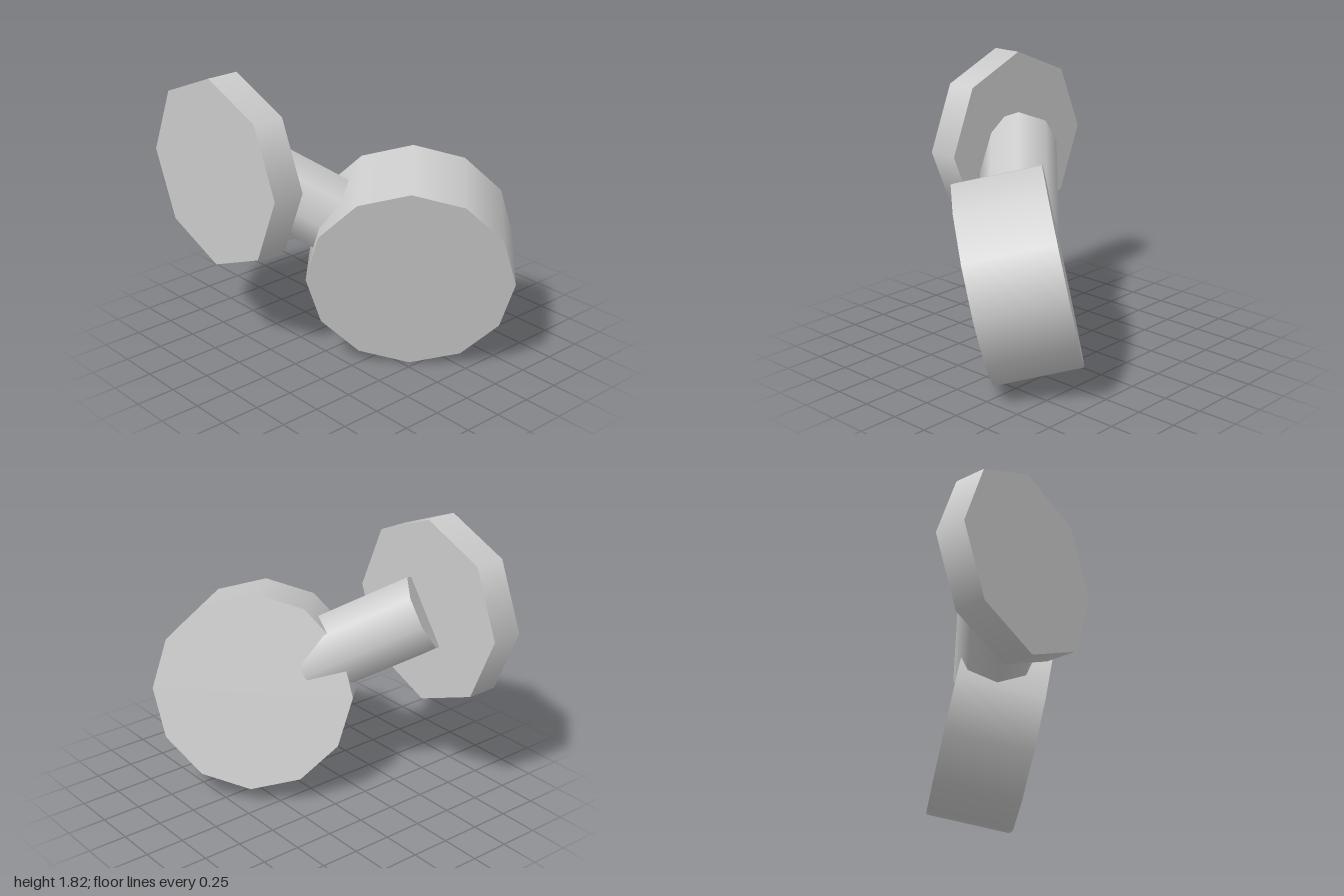
import * as THREE from 'three';

const grey = new THREE.MeshStandardMaterial({ color: 0xcccccc });
grey.name = 'plainGrey';

// Cylinder between two points, with one of its corners turned as far up as possible
function rod(name, from, to, radius, sides) {
  const axis = to.clone().sub(from);
  const length = axis.length();
  axis.normalize();
  const up = new THREE.Vector3(0, 1, 0).addScaledVector(axis, -axis.y).normalize();
  const side = new THREE.Vector3().crossVectors(axis, up);
  const mesh = new THREE.Mesh(new THREE.CylinderGeometry(radius, radius, length, sides), grey);
  mesh.quaternion.setFromRotationMatrix(new THREE.Matrix4().makeBasis(side, axis, up));
  mesh.position.copy(from).lerp(to, 0.5);
  mesh.name = name;
  return mesh;
}

export function createModel() {
  const model = new THREE.Group();
  model.name = 'mallet';

  // Eight-sided upright disc
  const discInner = new THREE.Vector3(-0.575, 1.23, -0.405);
  const discOuter = discInner.clone().setX(-0.78);
  model.add(rod('disc', discOuter, discInner, 0.595, 8));

  // Twelve-sided tilted drum
  const drumFront = new THREE.Vector3(-0.047, 0.62, 0.55);
  const drumBack = new THREE.Vector3(0.333, 0.73, 0.17);
  model.add(rod('drum', drumFront, drumBack, 0.63, 12));

  // Arm running from the disc towards the middle of the drum
  const drumCentre = drumFront.clone().lerp(drumBack, 0.5);
  const armEnd = discInner.clone().lerp(drumCentre, 0.68);
  model.add(rod('arm', discInner, armEnd, 0.25, 8));

  return model;
}
